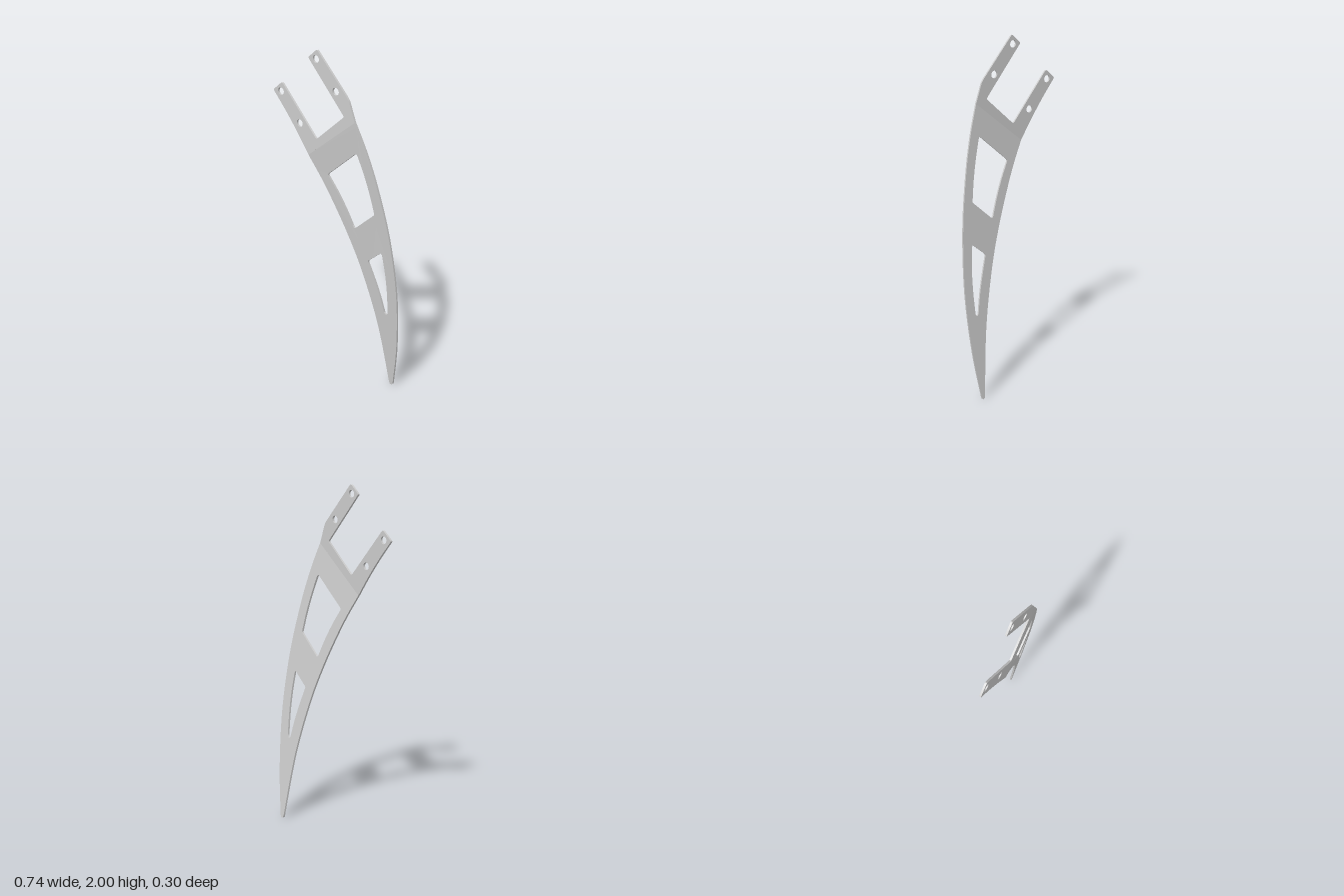
import * as THREE from 'three';
import { toCreasedNormals } from 'three/addons/utils/BufferGeometryUtils.js';

const THICKNESS = 0.011;

// Each segment is a list of points: one point is a straight edge, more are a smooth curve.
function trace(path, start, segments) {
  path.moveTo(...start);
  for (const seg of segments) {
    if (seg.length === 1) path.lineTo(...seg[0]);
    else path.splineThru(seg.map(p => new THREE.Vector2(...p)));
  }
  return path;
}

// Extrudes a flat outline and tilts it so its front face lies on z = a*x + b*y + c.
function plate(name, shape, [a, b, c], material) {
  const geo = new THREE.ExtrudeGeometry(shape, { depth: THICKNESS, bevelEnabled: false, curveSegments: 8 });
  const pos = geo.attributes.position;
  for (let i = 0; i < pos.count; i++) {
    pos.setZ(i, pos.getZ(i) - THICKNESS + a * pos.getX(i) + b * pos.getY(i) + c);
  }
  const mesh = new THREE.Mesh(toCreasedNormals(geo, 0.5), material);
  mesh.name = name;
  return mesh;
}

export function createModel() {
  const group = new THREE.Group();
  group.name = 'bentBracket';
  const material = new THREE.MeshStandardMaterial({ color: 0xcccccc });

  // Curved blade, from the pointed tip up to the fold
  const foldLeft = [-0.13, 1.402], foldRight = [0.19, 1.657];
  const blade = trace(new THREE.Shape(), [0.281, 0.015], [
    [[0.285, 0.004], [0.294, 0], [0.302, 0.006], [0.306, 0.02]],
    [[0.349, 0.3], [0.37, 0.65], [0.349, 1.0], [0.297, 1.3], [0.245, 1.5], foldRight],
    [foldLeft],
    [[-0.035, 1.23], [0.075, 0.98], [0.16, 0.73], [0.235, 0.4], [0.281, 0.015]],
  ]);

  // Upper window
  blade.holes.push(trace(new THREE.Path(), [-0.007, 1.318], [
    [[0.172, 1.472]],
    [[0.182, 1.477], [0.19, 1.468]],
    [[0.222, 1.36], [0.248, 1.25], [0.266, 1.145]],
    [[0.266, 1.136], [0.26, 1.128]],
    [[0.14, 1.02]],
    [[0.131, 1.016], [0.123, 1.023]],
    [[0.085, 1.12], [0.04, 1.215], [-0.01, 1.303]],
    [[-0.012, 1.311], [-0.007, 1.318]],
  ]));

  // Lower window
  blade.holes.push(trace(new THREE.Path(), [0.204, 0.828], [
    [[0.28, 0.894]],
    [[0.29, 0.899], [0.297, 0.89]],
    [[0.308, 0.77], [0.311, 0.65], [0.306, 0.51]],
    [[0.302, 0.502], [0.292, 0.498], [0.283, 0.507]],
    [[0.262, 0.61], [0.235, 0.71], [0.202, 0.815]],
    [[0.201, 0.822], [0.204, 0.828]],
  ]));
  group.add(plate('blade', blade, [-0.224, 0.1142, -0.073], material));

  // Upright fork with two mounting tabs above the fold
  const fork = trace(new THREE.Shape(), foldLeft, [
    [foldRight],
    [[0.165, 1.725], [0.15, 1.765], [0.132, 1.79]],
    [[-0.055, 1.994]],
    [[-0.063, 1.999], [-0.073, 1.995]],
    [[-0.116, 1.957]],
    [[-0.121, 1.95], [-0.117, 1.943]],
    [[0.112, 1.682]],
    [[0.115, 1.674], [0.111, 1.667]],
    [[-0.064, 1.513]],
    [[-0.072, 1.51], [-0.08, 1.514]],
    [[-0.306, 1.77]],
    [[-0.314, 1.775], [-0.322, 1.772]],
    [[-0.37, 1.731]],
    [[-0.375, 1.724], [-0.372, 1.718]],
    [[-0.285, 1.615], [-0.205, 1.51], foldLeft],
  ]);

  // Bolt holes, two per tab
  for (const [x, y] of [[-0.07, 1.95], [0.063, 1.8], [-0.322, 1.725], [-0.19, 1.571]]) {
    fork.holes.push(new THREE.Path().absarc(x, y, 0.021, 0, Math.PI * 2, true));
  }
  group.add(plate('mountingFork', fork, [-0.133, 0, 0.099], material));

  return group;
}
